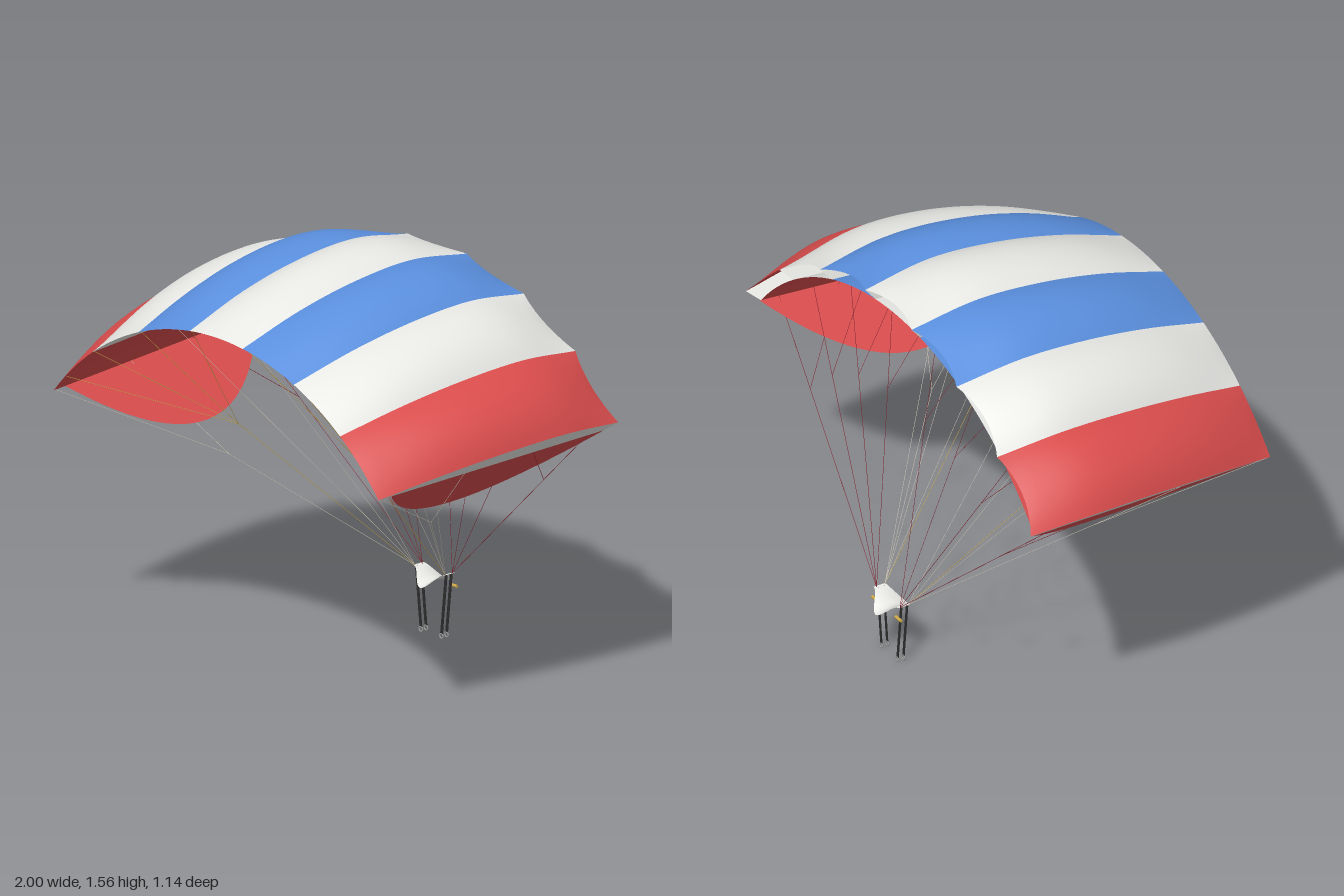
import * as THREE from 'three';

const mat = (name, color) => {
  const m = new THREE.MeshStandardMaterial({ color, side: THREE.DoubleSide });
  m.name = name;
  return m;
};

// Open surface from a rule f(u, v) -> [x, y, z]
function sheet(f, nu, nv) {
  const pos = [], idx = [];
  for (let i = 0; i <= nu; i++)
    for (let j = 0; j <= nv; j++) pos.push(...f(i / nu, j / nv));
  for (let i = 0; i < nu; i++)
    for (let j = 0; j < nv; j++) {
      const a = i * (nv + 1) + j, b = a + nv + 1;
      idx.push(a, a + 1, b, b, a + 1, b + 1);
    }
  const g = new THREE.BufferGeometry();
  g.setAttribute('position', new THREE.Float32BufferAttribute(pos, 3));
  g.setIndex(idx);
  g.computeVertexNormals();
  return g;
}

// Turn an upright part of unit direction y so it runs from a to b
function between(a, b, make) {
  const p = new THREE.Vector3(...a), q = new THREE.Vector3(...b);
  const g = make(p.distanceTo(q));
  const dir = q.clone().sub(p).normalize();
  g.applyQuaternion(new THREE.Quaternion().setFromUnitVectors(new THREE.Vector3(0, 1, 0), dir));
  g.translate(...p.add(q).multiplyScalar(0.5).toArray());
  return g;
}
const rod = (a, b, r, sides) => between(a, b, (h) => new THREE.CylinderGeometry(r, r, h, sides));
const strap = (a, b, w, d) => between(a, b, (h) => new THREE.BoxGeometry(w, h, d));

export function createModel() {
  const root = new THREE.Group();
  root.name = 'parachute';
  const red = mat('red fabric', 0xd94c4c);
  const white = mat('white fabric', 0xe9e9e6);
  const blue = mat('blue fabric', 0x5a8fde);
  const cream = mat('cream cord', 0xd6cfbc);
  const darkRed = mat('dark red cord', 0x8a2430);
  const yellow = mat('yellow cord and toggle', 0xd2ac48);
  const black = mat('black webbing', 0x2c2c2c);
  const metal = mat('metal', 0x9a9a9a);
  const add = (name, geo, material, parent = root) => {
    const m = new THREE.Mesh(geo, material);
    m.name = name;
    parent.add(m);
    return m;
  };

  // The canopy is an arch of seven cells around a low axis
  const axisY = 0.239, half = 0.881, cells = 7, step = (2 * half) / cells;
  const polar = (a, r, z) => [r * Math.sin(a), axisY + r * Math.cos(a), z];
  const profile = new THREE.CatmullRomCurve3(
    [[1.128, 0.57], [1.217, 0.3], [1.274, 0.03], [1.295, -0.24], [1.257, -0.515]]
      .map(([r, z]) => new THREE.Vector3(0, r, z)));
  const upper = (u) => { const p = profile.getPoint(u); return [p.y, p.z]; };
  const lower = (u) => [1.128 + 0.079 * u, 0.57 - 1.045 * u];
  const lowerAtZ = (a, z) => polar(a, lower((0.57 - z) / 1.045)[0], z);

  const canopy = new THREE.Group();
  canopy.name = 'canopy';
  root.add(canopy);
  const stripes = [red, white, blue, white, blue, white, red];
  stripes.forEach((m, i) => {
    const a0 = -half + i * step;
    // Top skin, puffed between nose and tail, with a scalloped nose
    add('topCell', sheet((u, v) => {
      const puff = 1 - (2 * v - 1) ** 2;
      const [r, z] = upper(u);
      const swell = Math.max(0, Math.sin(Math.PI * u)) ** 0.7;
      return polar(a0 + v * step, r + 0.034 * puff * swell, z + 0.031 * puff * u ** 8);
    }, 32, 12), m, canopy);
    add('bottomCell', sheet((u, v) => {
      const [r, z] = lower(u);
      return polar(a0 + v * step, r, z);
    }, 8, 8), m, canopy);
  });

  // Ribs between the skins
  for (let i = 0; i <= cells; i++) {
    add('rib', sheet((u, v) => {
      const [r0, z0] = lower(u), [r1, z1] = upper(u);
      return polar(-half + i * step, r0 + (r1 - r0) * v, z0 + (z1 - z0) * v);
    }, 32, 1), white, canopy);
  }

  // Rounded stabilizer flaps below both ends
  for (const s of [-1, 1]) {
    add('stabilizer', sheet((u, v) => {
      const t = 2 * u - 1, z = 0.015 - 0.495 * t;
      const top = lower((0.57 - z) / 1.045)[0];
      return polar(s * half, top - 0.325 * (1 - t * t) * v, z);
    }, 28, 1), red, canopy);
  }

  for (const s of [-1, 1]) {
    const side = new THREE.Group();
    side.name = s > 0 ? 'leftRigging' : 'rightRigging';
    root.add(side);
    const frontTop = [s * 0.08, 0.25, -0.515], rearTop = [s * 0.08, 0.25, -0.48];
    const line = (a, b, m) => add('suspensionLine', rod(a, b, 0.001, 4), m, side);

    // Lines from each rib to the front and rear risers
    for (let k = 0; k < 4; k++) {
      const a = s * step * (k + 0.5), nose = lowerAtZ(a, -0.4);
      line(frontTop, nose, darkRed);
      // Short branch to the middle row
      const fork = frontTop.map((c, i) => c + (nose[i] - c) * 0.68);
      line(fork, lowerAtZ(a, -0.15), darkRed);
      if (k < 3) line(rearTop, lowerAtZ(a, 0.17), cream);
    }

    // Forked line to the rear corner of the canopy
    const corner = [s * 0.54, 0.67, 0.01];
    line(rearTop, corner, cream);
    line(corner, polar(s * half, 1.128, 0.56), cream);
    line(corner, lowerAtZ(s * half, 0.17), cream);

    // Steering line fanning out to the trailing edge
    const node = [s * 0.34, 0.865, 0.15];
    line(rearTop, node, yellow);
    for (const k of [0.5, 1.5, 2.5, 3.2]) line(node, polar(s * step * k, 1.13, 0.56), yellow);

    // Flat risers with end rings
    for (const z of [-0.51, -0.485]) {
      add('riser', strap([s * 0.055, 0.018, z], [s * 0.08, 0.25, z], 0.013, 0.002), black, side);
      const ring = add('riserRing', new THREE.TorusGeometry(0.009, 0.003, 6, 12), metal, side);
      ring.position.set(s * 0.055, 0.012, z);
    }

    // Steering toggle
    add('toggle', rod([s * 0.062, 0.203, -0.522], [s * 0.098, 0.203, -0.522], 0.006, 8), yellow, side);
  }

  // Saddle-shaped slider between the risers
  add('slider', sheet((u, v) => {
    const x = 2 * u - 1, w = 2 * v - 1;
    const sag = Math.cos(x * Math.PI / 2) ** 2;
    return [x * 0.085, 0.252 - sag * (0.04 + 0.018 * w * w), -0.5 + w * (0.025 + 0.045 * sag)];
  }, 20, 10), white);

  return root;
}
